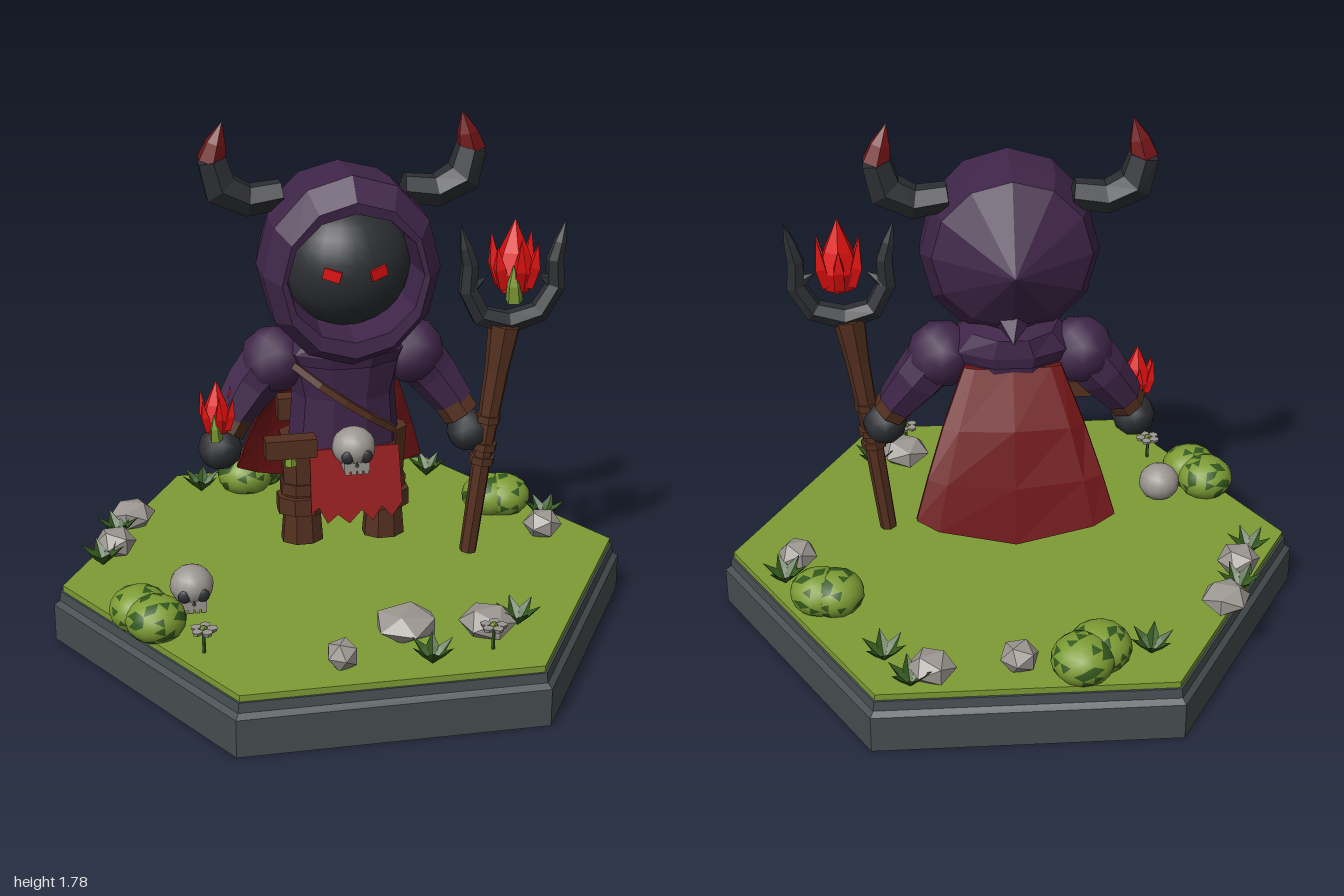
import * as THREE from 'three';

const mat = (name, color) => {
  const m = new THREE.MeshStandardMaterial({ color });
  m.name = name;
  return m;
};
const V = (x, y, z) => new THREE.Vector3(x, y, z);

export function createModel() {
  const root = new THREE.Group();
  root.name = 'hornedMageOnHexBase';
  const purple = mat('robePurple', 0x40264a), charcoal = mat('charcoal', 0x2c2e32);
  const bright = mat('flameRed', 0xe01010), cloth = mat('clothRed', 0xa32424);
  const darkRed = mat('capeRed', 0x701315), brown = mat('leatherBrown', 0x54301f);
  const stone = mat('stoneGrey', 0x9b9690), leaf = mat('leafGreen', 0x7d9c34);
  const darkLeaf = mat('darkGreen', 0x33591c), slate = mat('baseSlate', 0x464d50);
  darkLeaf.side = THREE.DoubleSide;

  let seed = 7;
  const rnd = () => ((seed = (seed * 16807) % 2147483647) / 2147483647);

  const add = (name, geo, m, x = 0, y = 0, z = 0, parent = root) => {
    const mesh = new THREE.Mesh(geo, m);
    mesh.name = name;
    mesh.position.set(x, y, z);
    parent.add(mesh);
    return mesh;
  };
  const flat = (g) => {
    const f = g.index ? g.toNonIndexed() : g;
    f.computeVertexNormals();
    return f;
  };
  // Faceted skin over closed rings, counter-clockwise about the direction of travel
  const loft = (rings) => {
    const p = [], n = rings[0].length;
    for (let i = 0; i < rings.length - 1; i++)
      for (let j = 0; j < n; j++) {
        const k = (j + 1) % n, a = rings[i][j], b = rings[i][k], c = rings[i + 1][k], d = rings[i + 1][j];
        for (const v of [a, b, c, a, c, d]) p.push(v.x, v.y, v.z);
      }
    const g = new THREE.BufferGeometry();
    g.setAttribute('position', new THREE.Float32BufferAttribute(p, 3));
    g.computeVertexNormals();
    return g;
  };
  // Tapered limb along points [x, y, z, radius]
  const limb = (pts, sides = 6) => {
    const c = pts.map((q) => V(q[0], q[1], q[2]));
    const rings = c.map((p, i) => {
      const t = c[Math.min(i + 1, c.length - 1)].clone().sub(c[Math.max(i - 1, 0)]).normalize();
      const u = V(0, 0, 1).cross(t).normalize(), v = t.clone().cross(u);
      return Array.from({ length: sides }, (_, j) => {
        const a = ((j + 0.5) / sides) * Math.PI * 2, r = pts[i][3];
        return p.clone().addScaledVector(u, r * Math.cos(a)).addScaledVector(v, r * Math.sin(a));
      });
    });
    const cap = (i) => rings[i].map(() => c[i].clone());
    return loft([cap(0), ...rings, cap(c.length - 1)]);
  };
  // Upright body from levels [y, rx, rz, zCentre]
  const body = (levels, n = 10) => loft(levels.map(([y, rx, rz, zc]) =>
    Array.from({ length: n }, (_, j) => {
      const a = ((j + 0.5) / n) * Math.PI * 2;
      return V(rx * Math.sin(a), y, zc + rz * Math.cos(a));
    })));

  // Hexagonal base
  const hex = (name, rTop, rBot, y0, y1, m) =>
    add(name, flat(new THREE.CylinderGeometry(rTop, rBot, y1 - y0, 6, 1, false, Math.PI / 6)), m, 0, (y0 + y1) / 2, 0);
  hex('basePlinth', 1, 1, 0, 0.13, slate);
  hex('baseBevel', 0.98, 1, 0.13, 0.145, slate);
  hex('baseRim', 0.975, 0.98, 0.145, 0.178, slate);
  hex('grassTop', 0.967, 0.967, 0.178, 0.2, leaf);

  // Hood: back tip, outer shell, front rim, inner lining
  const hoodRings = [[-0.245, 0, 0, 1.34], [-0.1, 0.26, 0.255, 1.355], [0.03, 0.295, 0.31, 1.312],
    [0.155, 0.29, 0.318, 1.307], [0.23, 0.24, 0.26, 1.295], [0.225, 0.222, 0.215, 1.303], [0.02, 0.2, 0.2, 1.303]];
  add('hood', loft(hoodRings.map(([z, rx, ry, cy]) => Array.from({ length: 12 }, (_, j) => {
    const a = (j / 12) * Math.PI * 2;
    return V(rx * Math.cos(a), cy + ry * Math.sin(a), z);
  }))), purple);
  add('face', new THREE.SphereGeometry(1, 24, 16), charcoal, 0, 1.303, 0.02).scale.set(0.218, 0.212, 0.2);
  for (const s of [-1, 1]) {
    const eye = add('eye', new THREE.BoxGeometry(0.058, 0.036, 0.009), bright, s * 0.076, 1.315, 0.209);
    eye.rotation.set(0, s * 0.36, s * 0.25);
    add('horn', limb([[s * 0.2, 1.53, -0.01, 0.05], [s * 0.31, 1.515, -0.01, 0.056],
      [s * 0.4, 1.56, -0.01, 0.064], [s * 0.425, 1.655, -0.01, 0.052]]), charcoal);
    add('hornTip', limb([[s * 0.425, 1.65, -0.01, 0.05], [s * 0.41, 1.71, -0.005, 0.035], [s * 0.39, 1.78, 0, 0]]), darkRed);
  }

  // Robe
  add('torso', body([[0.67, 0, 0, 0], [0.67, 0.19, 0.13, 0], [0.85, 0.175, 0.13, 0], [0.99, 0.21, 0.145, 0],
    [1.06, 0.15, 0.12, 0], [1.06, 0, 0, 0]]), purple);
  add('cowl', body([[0.97, 0.2, 0.155, 0], [1.01, 0.22, 0.165, 0], [1.075, 0.16, 0.16, 0], [1.09, 0.1, 0.1, 0]]), purple);
  add('cowlPoint', limb([[0, 1.13, -0.06, 0.08], [0, 1.065, -0.16, 0]], 5), purple);
  add('chestStrap', limb([-0.18, -0.1, -0.02, 0.06, 0.15].map((x) =>
    [x, 0.97 - (x + 0.18) * 0.72, 0.138 * Math.sqrt(1 - (x / 0.205) ** 2) + 0.012, 0.016]), 4), brown);
  add('pouch', new THREE.BoxGeometry(0.17, 0.065, 0.06), brown, -0.212, 0.725, 0.18);
  add('vial', flat(new THREE.CylinderGeometry(0.018, 0.022, 0.04, 6)), leaf, -0.21, 0.675, 0.17);
  add('backPouch', new THREE.BoxGeometry(0.1, 0.08, 0.06), brown, -0.16, 0.75, -0.11);

  // Cape, from hem to shoulders: [y centre, half width, z, edge lift, edge z]
  const cape = [[0.39, 0.33, -0.305, 0.085, 0.035], [0.58, 0.29, -0.265, 0.03, 0.03],
    [0.77, 0.235, -0.215, 0, 0.04], [0.96, 0.16, -0.13, 0, 0.02]].map(([y, w, z, lift, ez]) => {
    const xs = [-1, -0.78, 0, 0.78, 1];
    const row = (dz) => xs.map((x) => V(x * w, y + lift * Math.abs(x) ** 2, z + dz + ez * x ** 4));
    return [...row(0.022), ...row(0).reverse()];
  });
  const close = (r) => r.map((p, i) => p.clone().lerp(r[r.length - 1 - i], 0.5));
  add('cape', loft([close(cape[0]), ...cape, close(cape[3])]), darkRed);

  // Ragged front cloth
  const rag = new THREE.Shape([[-0.145, 0.7], [-0.14, 0.47], [-0.115, 0.49], [-0.085, 0.43], [-0.05, 0.46], [-0.01, 0.425],
    [0.03, 0.47], [0.07, 0.43], [0.1, 0.48], [0.135, 0.44], [0.17, 0.49], [0.155, 0.7]].map(([x, y]) => new THREE.Vector2(x, y)));
  add('frontCloth', new THREE.ExtrudeGeometry(rag, { depth: 0.009, bevelEnabled: false }), cloth, 0, 0, 0.16);

  // Arms, hands and legs
  for (const s of [-1, 1]) {
    add('shoulder', new THREE.IcosahedronGeometry(0.115, 1), purple, s * 0.232, 0.965, -0.01);
    add('arm', limb([[s * 0.23, 0.98, -0.01, 0.1], [s * 0.31, 0.88, -0.015, 0.088], [s * 0.385, 0.775, 0.01, 0.07]], 7), purple);
    add('wristCuff', limb([[s * 0.37, 0.79, 0.01, 0.066], [s * 0.405, 0.735, 0.025, 0.066]], 7), brown);
    add('hand', new THREE.IcosahedronGeometry(0.075, 1), charcoal, s * 0.425, 0.68, 0.04);
    const leg = new THREE.Group();
    leg.name = 'leg';
    leg.position.set(s * 0.142, 0, -0.01);
    root.add(leg);
    const part = (name, r0, r1, y0, y1) => {
      const m = add(name, flat(new THREE.CylinderGeometry(r1, r0, y1 - y0, 8, 1, false, Math.PI / 8)), brown, 0, (y0 + y1) / 2, 0, leg);
      m.scale.z = 0.8;
    };
    part('trouser', 0.064, 0.08, 0.44, 0.7);
    part('bootCuff', 0.09, 0.09, 0.41, 0.47);
    part('bootStrap', 0.078, 0.078, 0.48, 0.52);
    part('boot', 0.075, 0.065, 0.3, 0.42);
  }

  // Flames
  const flame = (name, x, y, z, k) => {
    const g = new THREE.Group();
    g.name = name;
    g.position.set(x, y, z);
    g.scale.setScalar(k);
    root.add(g);
    add('flameCore', limb([[0, 0, 0, 0.05], [0, 0.07, 0, 0.072], [0, 0.14, 0, 0.05], [0, 0.25, 0, 0]]), bright, 0, 0, 0, g);
    for (let i = 0; i < 6; i++) {
      const a = (i / 6) * Math.PI * 2 + 0.5, c = Math.cos(a), d = Math.sin(a);
      add('flameTongue', limb([[c * 0.045, 0.02, d * 0.045, 0.024], [c * 0.068, 0.09, d * 0.068, 0.024],
        [c * 0.08, 0.17 + 0.03 * (i % 2), d * 0.08, 0]], 4), bright, 0, 0, 0, g);
    }
    add('flameStem', limb([[-0.01, -0.02, 0.05, 0.03], [-0.015, 0.04, 0.06, 0.024], [-0.02, 0.11, 0.065, 0]], 5), leaf, 0, 0, 0, g);
  };
  flame('staffFlame', 0.56, 1.18, 0.07, 1);
  flame('handFlame', -0.437, 0.75, 0.065, 0.73);

  // Staff and fork
  add('staffShaft', limb([[0.425, 0.24, 0.075, 0.03], [0.475, 0.65, 0.075, 0.034], [0.51, 0.9, 0.075, 0.042],
    [0.533, 1.065, 0.075, 0.056]], 7), brown);
  for (const [x, y] of [[0.465, 0.57], [0.472, 0.62], [0.483, 0.72]])
    add('staffWrap', limb([[x, y, 0.075, 0.044], [x + 0.003, y + 0.025, 0.075, 0.044]], 7), brown);
  for (const s of [-1, 1]) {
    add('forkProng', limb([[0.545, 1.07, 0.07, 0.04], [0.55 + s * 0.1, 1.1, 0.07, 0.038], [0.555 + s * 0.15, 1.19, 0.07, 0.034],
      [0.555 + s * 0.145, 1.28, 0.07, 0.03], [0.555 + s * 0.16, 1.34, 0.07, 0.022], [0.555 + s * 0.178, 1.415, 0.07, 0]]), charcoal);
    add('forkBarb', limb([[0.555 + s * 0.14, 1.2, 0.07, 0.028], [0.555 + s * 0.085, 1.235, 0.07, 0]], 5), charcoal);
  }

  // Skulls
  const skull = (name, x, y, z) => {
    const g = new THREE.Group();
    g.name = name;
    g.position.set(x, y, z);
    root.add(g);
    add('cranium', new THREE.SphereGeometry(0.073, 14, 10), stone, 0, 0, 0, g).scale.y = 0.92;
    add('jaw', new THREE.BoxGeometry(0.085, 0.035, 0.06), stone, 0, -0.047, 0.03, g);
    for (let i = -1.5; i < 2; i++)
      add('tooth', new THREE.BoxGeometry(0.016, 0.022, 0.014), stone, i * 0.021, -0.066, 0.052, g);
    for (const s of [-1, 1]) {
      const socket = add('eyeSocket', new THREE.SphereGeometry(0.023, 10, 6), charcoal, s * 0.03, -0.014, 0.06, g);
      socket.scale.z = 0.5;
    }
    add('noseHole', new THREE.ConeGeometry(0.011, 0.022, 3), charcoal, 0, -0.036, 0.06, g);
  };
  skull('beltSkull', 0, 0.71, 0.18);
  skull('groundSkull', -0.555, 0.283, 0.235);

  // Bushes of mottled faceted clumps
  const clump = (x, z, r) => {
    const g = new THREE.IcosahedronGeometry(r, 2);
    for (let i = 0; i < g.attributes.position.count / 3; i++) g.addGroup(i * 3, 3, rnd() < 0.3 ? 1 : 0);
    const m = add('bush', g, [leaf, darkLeaf], x, 0.25, z);
    m.scale.y = 0.78;
    m.rotation.y = rnd() * 6;
  };
  [[-0.24, -0.7, 0.105], [-0.18, -0.76, 0.105], [0.61, -0.34, 0.1], [0.66, -0.33, 0.1],
    [-0.735, 0.31, 0.1], [-0.69, 0.39, 0.1]].forEach((b) => clump(...b));

  // Rocks
  for (const [x, z, r] of [[0.02, -0.72, 0.066], [0.3, -0.755, 0.08], [-0.69, -0.44, 0.085], [-0.77, -0.22, 0.075],
    [0.74, -0.085, 0.07], [0.1, 0.55, 0.112], [0.36, 0.59, 0.095], [-0.14, 0.715, 0.056]]) {
    const m = add('rock', new THREE.IcosahedronGeometry(r, 0), stone, x, 0.24, z);
    m.scale.y = 0.055 / r;
    m.rotation.y = rnd() * 6;
  }

  // Grass tufts: folded pointed blades
  const blade = new THREE.BufferGeometry();
  blade.setAttribute('position', new THREE.Float32BufferAttribute(
    [0, 0, 0, 0.02, 0.045, 0.035, 0, 0.035, 0.04, 0, 0, 0, 0, 0.035, 0.04, -0.02, 0.045, 0.035,
      0.02, 0.045, 0.035, 0, 0.075, 0.075, 0, 0.035, 0.04, 0, 0.035, 0.04, 0, 0.075, 0.075, -0.02, 0.045, 0.035], 3));
  blade.computeVertexNormals();
  for (const [x, z] of [[-0.41, -0.68], [0.45, -0.66], [-0.75, -0.35], [-0.82, -0.13], [0.78, -0.2], [0.47, 0.56], [0.14, 0.755], [0.37, -0.8]]) {
    const turn = rnd() * 6;
    for (let i = 0; i < 6; i++)
      add('grassBlade', blade, darkLeaf, x, 0.2, z).rotation.y = turn + (i * Math.PI) / 3;
  }

  // Small grey flowers
  for (const [x, z] of [[-0.555, 0.55], [0.35, 0.7]]) {
    add('flowerStem', flat(new THREE.CylinderGeometry(0.006, 0.006, 0.08, 5)), darkLeaf, x, 0.24, z);
    add('flowerHeart', new THREE.IcosahedronGeometry(0.014, 0), leaf, x, 0.284, z);
    for (let i = 0; i < 5; i++) {
      const a = (i / 5) * Math.PI * 2;
      add('petal', flat(new THREE.CylinderGeometry(0.018, 0.014, 0.012, 6)), stone, x + 0.028 * Math.cos(a), 0.28, z + 0.028 * Math.sin(a));
    }
  }
  return root;
}
